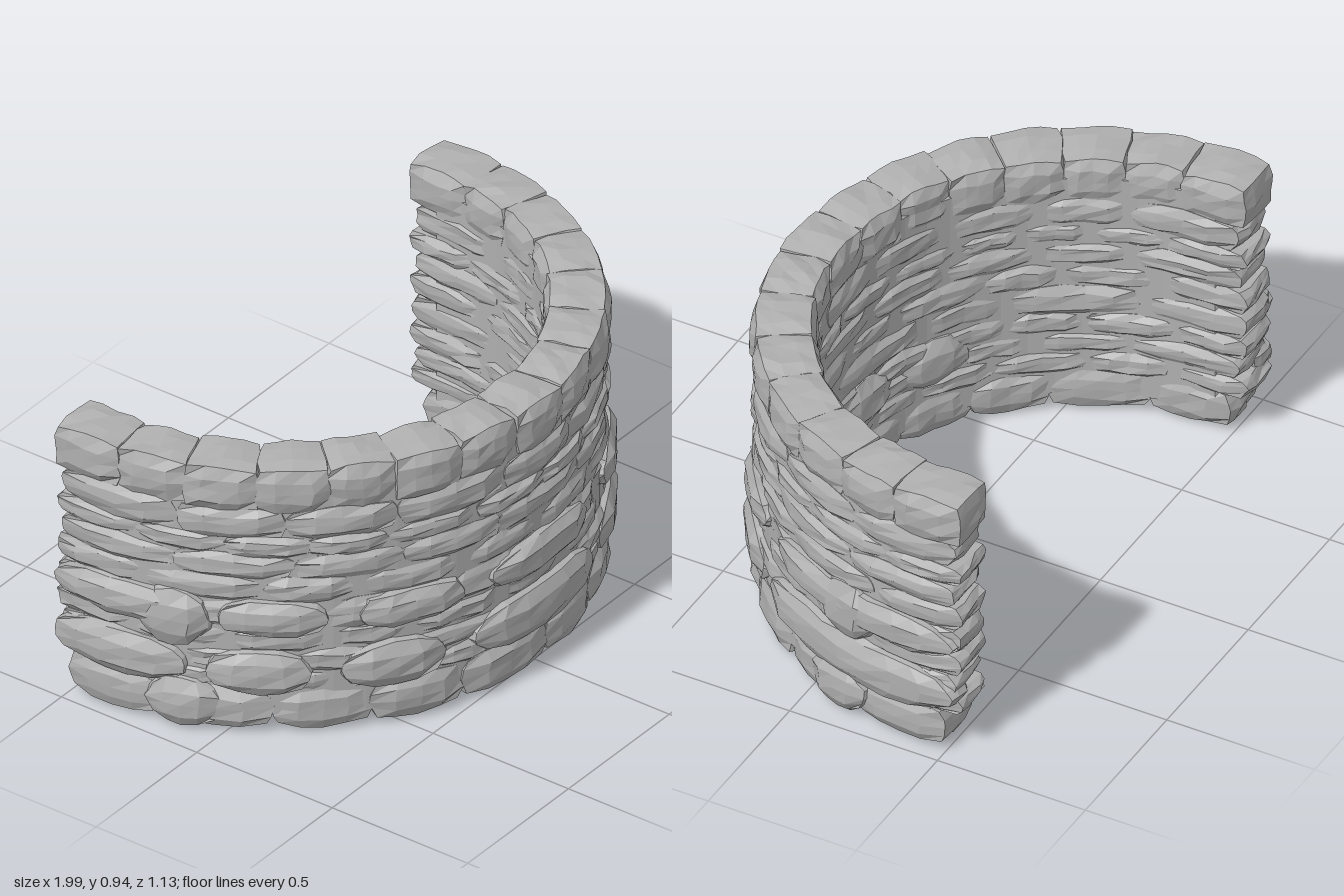
import * as THREE from 'three';

const DEG = Math.PI / 180;
const CENTRE_Z = -0.43;
const END = 97; // half sweep of the wall in degrees

// repeatable noise in -1..1, equal for equal positions so seams stay closed
function noise(x, y, z, k) {
  const s = Math.sin(x * 127.1 + y * 311.7 + z * 74.7 + k * 53.3) * 43758.5453;
  return (s - Math.floor(s)) * 2 - 1;
}

// horseshoe plan: half circle with short straight ends
function place(deg, y, r) {
  const c = Math.max(-90, Math.min(90, deg));
  const over = Math.abs(deg - c) * DEG * 0.98;
  return [r * Math.sin(c * DEG), y, CENTRE_Z + r * Math.cos(c * DEG) - over];
}

// faceted block bent along the wall: round = corner rounding, bevel = edge inset
function stoneGeometry({ a0, a1, y0, y1, r0 = 0.78, r1 = 0.97, round = 0.45, bevel = 0.018, rough = 1, seed = 0 }) {
  const nu = Math.max(4, Math.round((a1 - a0) / 6));
  const g = new THREE.BoxGeometry(2, 2, 2, nu, 4, 3);
  const p = g.attributes.position;
  for (let i = 0; i < p.count; i++) {
    const u = p.getX(i), v = p.getY(i), w = p.getZ(i);
    const n = k => noise(Math.round(u * 50), Math.round(v * 50), Math.round(w * 50), k + seed) * rough;
    // long stones keep their rounding near the ends
    const e = Math.max(0, 1 - (1 - Math.abs(u)) * nu / 4);
    const side = Math.abs(w) > 0.9 ? 0.94 : 1;
    const uu = u * Math.sqrt(1 - round * v * v * 0.5 * Math.min(1, 8 / nu)) * (side + (1 - side) * 0.5);
    const vv = v * Math.sqrt(1 - round * e * e * 0.9) * side;
    const edge = Math.max(e ** 4, v ** 4);
    const deg = (a0 + a1) / 2 + uu * (a1 - a0) / 2 + n(1) * 0.35;
    const y = (y0 + y1) / 2 + vv * (y1 - y0) / 2 + n(2) * 0.005;
    const r = (r0 + r1) / 2 + w * ((r1 - r0) / 2 - (Math.abs(w) > 0.9 ? bevel * edge : 0)) + n(3) * 0.004;
    p.setXYZ(i, ...place(deg, Math.max(0, y), r));
  }
  g.computeVertexNormals();
  return g;
}

export function createModel() {
  const stoneGrey = new THREE.MeshStandardMaterial({ color: 0xb0b0b0, flatShading: true });
  stoneGrey.name = 'stoneGrey';
  const model = new THREE.Group();
  model.name = 'curvedStoneWall';
  let seed = 0;

  function add(name, options, parent = model) {
    const mesh = new THREE.Mesh(stoneGeometry({ seed: seed++, ...options }), stoneGrey);
    mesh.name = name;
    parent.add(mesh);
  }

  // solid filling behind the joints
  add('wallCore', { a0: -94, a1: 94, y0: 0.04, y1: 0.89, r0: 0.795, r1: 0.955, round: 0, bevel: 0, rough: 0 });

  // stacked courses: bottom, top, stone count, outer radius, end angle
  const courses = [
    [0.01, 0.16, 10, 0.972, 94],
    [0.14, 0.225, 11, 0.965, END],
    [0.21, 0.30, 9, 0.968, 96],
    [0.285, 0.375, 11, 0.966, END],
    [0.36, 0.47, 8, 0.968, END],
    [0.455, 0.555, 10, 0.97, 97],
    [0.54, 0.635, 9, 0.974, 96],
    [0.62, 0.70, 12, 0.97, 97],
    [0.685, 0.80, 9, 0.974, 96],
    [0.78, 0.94, 15, 0.976, 97],
  ];
  courses.forEach(([y0, y1, count, r1, end], row) => {
    const course = new THREE.Group();
    course.name = 'course' + (row + 1);
    model.add(course);
    const step = 2 * end / count;
    // inner joints shift a little, the top course stays regular
    const cut = i => -end + i * step + (i > 0 && i < count ? noise(i, row, 3, 7) * (row === 9 ? 0.5 : 2.5) : 0);
    for (let i = 0; i < count; i++) {
      add('stone', {
        a0: cut(i) - 0.5, a1: cut(i + 1) + 0.5, y0, y1,
        r0: 0.782 + noise(i, row, 1, 2) * 0.006, r1: r1 + noise(i, row, 5, 4) * 0.004,
        round: row === 9 ? 0.28 : 0.45,
      }, course);
    }
  });

  // two bands of stones standing proud of the outer face
  const bands = [
    ['lowerBandStone', 0.14, 0.30, [[-97, -70], [-67, -48], [-43, -23], [-18, 18], [22, 45], [48, 97]]],
    ['upperBandStone', 0.345, 0.475, [[-97, -69], [-65, -45], [-40, -19], [-14, 15], [25, 46], [51, 97]]],
  ];
  for (const [name, y0, y1, spans] of bands) {
    for (const [a0, a1] of spans) add(name, { a0, a1, y0, y1, r0: 0.86, r1: 0.995, round: 0.6, bevel: 0.022 });
  }

  // rounded boulders on both flanks
  for (const s of [-1, 1]) {
    for (const [a, y, h] of [[73, 0.39, 0.105], [71, 0.095, 0.09]]) {
      add('flankBoulder', { a0: s * a - 7, a1: s * a + 7, y0: y - h, y1: y + h, r0: 0.87, r1: 0.997, round: 0.75, bevel: 0.025 });
    }
  }

  // bulging stones low on the inner face
  for (const a of [-28, -8, 27]) {
    add('innerBoulder', { a0: a - 9, a1: a + 9, y0: 0.19, y1: 0.37, r0: 0.765, r1: 0.9, round: 0.75, bevel: 0.025 });
  }
  return model;
}
